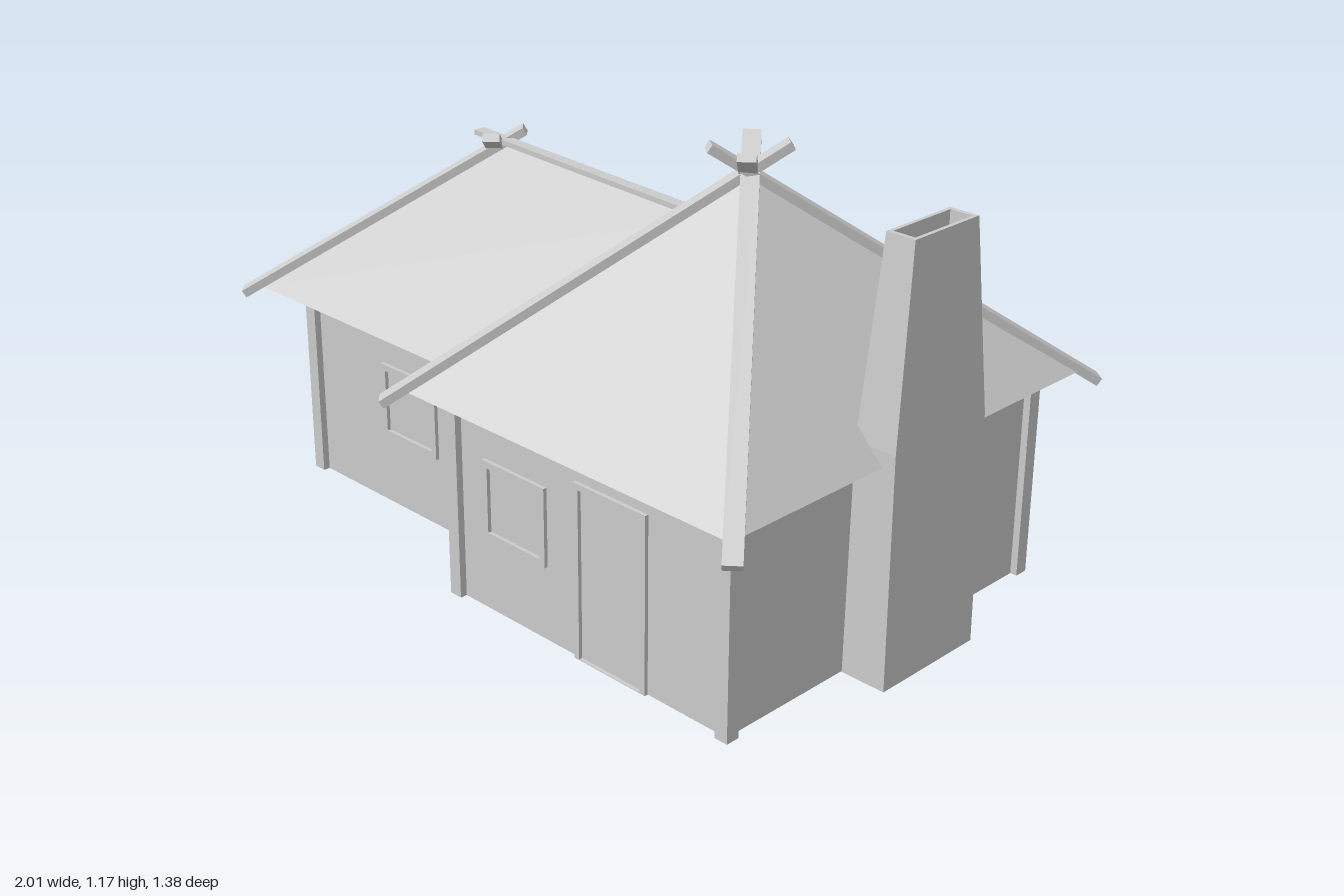
import * as THREE from 'three';

const material = new THREE.MeshStandardMaterial({ color: 0xcccccc, flatShading: true, side: THREE.DoubleSide });

export function createModel() {
  const house = new THREE.Group();
  house.name = 'cottage';

  const add = (name, geometry, x = 0, y = 0, z = 0) => {
    const mesh = new THREE.Mesh(geometry, material);
    mesh.name = name;
    mesh.position.set(x, y, z);
    house.add(mesh);
    return mesh;
  };

  // Flat polygons, each fanned into triangles, corners counter-clockwise from outside
  const faces = (name, polygons) => {
    const points = [];
    for (const p of polygons)
      for (let i = 1; i < p.length - 1; i++) points.push(...p[0], ...p[i], ...p[i + 1]);
    const geometry = new THREE.BufferGeometry();
    geometry.setAttribute('position', new THREE.Float32BufferAttribute(points, 3));
    geometry.computeVertexNormals();
    return add(name, geometry);
  };

  // Timber with a rectangular section between two points
  const timber = (name, from, to, width, thickness) => {
    const a = new THREE.Vector3(...from), b = new THREE.Vector3(...to);
    const mesh = add(name, new THREE.BoxGeometry(width, thickness, a.distanceTo(b)));
    mesh.position.copy(a).lerp(b, 0.5);
    mesh.lookAt(b);
  };

  // Walls: one thin upright panel per run of the floor plan
  const wall = (name, [x1, z1], [x2, z2], height) =>
    faces(name, [[[x1, 0, z1], [x2, 0, z2], [x2, height, z2], [x1, height, z1]]]);
  const L = -0.053, R = 0.853, F = 0.533, B = -0.546; // main block
  const WL = -0.868, WF = 0.345, WB = -0.37; // side wing
  const mainTop = 0.56, wingTop = 0.55;
  wall('mainFrontWall', [L, F], [R, F], mainTop);
  wall('mainRightWall', [R, F], [R, B], mainTop);
  wall('mainBackWall', [R, B], [L, B], mainTop);
  wall('mainBackReturnWall', [L, B], [L, WB], mainTop);
  wall('mainFrontReturnWall', [L, WF], [L, F], mainTop);
  wall('wingBackWall', [L, WB], [WL, WB], wingTop);
  wall('wingLeftWall', [WL, WB], [WL, WF], wingTop);
  wall('wingFrontWall', [WL, WF], [L, WF], wingTop);

  // Corner posts
  const posts = [[L, F], [R, F], [R, B], [L, B], [WL, WF], [WL, WB], [L - 0.013, WF], [L - 0.013, WB]];
  for (const [x, z] of posts)
    add('cornerPost', new THREE.BoxGeometry(0.038, wingTop, 0.038), x, wingTop / 2, z);

  // Window and door frames: rectangular rings raised on the outside of the wall
  const frame = (name, width, height, border, bottomBorder, x, y, z, turn = 0) => {
    const w = width / 2, h = height / 2;
    const rect = (Type, l, b, r, t) =>
      new Type([[l, b], [r, b], [r, t], [l, t]].map(p => new THREE.Vector2(...p)));
    const shape = rect(THREE.Shape, -w, -h, w, h);
    shape.holes.push(rect(THREE.Path, border - w, bottomBorder - h, w - border, h - border));
    const geometry = new THREE.ExtrudeGeometry(shape, { depth: 0.01, bevelEnabled: false });
    add(name, geometry, x, y, z).rotation.y = turn;
  };
  const windows = [
    [0.16, F, 0], [-0.467, WF, 0], [0.41, B, Math.PI], [-0.46, WB, Math.PI], [WL, -0.02, -Math.PI / 2],
  ];
  for (const [x, z, turn] of windows) frame('windowFrame', 0.22, 0.21, 0.018, 0.018, x, 0.305, z, turn);
  frame('doorFrame', 0.235, 0.465, 0.016, 0.002, 0.488, 0.2325, F);

  // Pyramid roof over the main block, closed below by a flat ceiling
  const peak = [0.41, 1.09, 0];
  const eaves = [[-0.14, 0.56, 0.63], [0.94, 0.56, 0.63], [0.94, 0.56, -0.645], [-0.14, 0.56, -0.645]];
  faces('mainRoof', eaves.map((corner, i) => [corner, eaves[(i + 1) % 4], peak]));
  faces('mainCeiling', [[...eaves].reverse()]);

  // Wing roof: hipped at the left end, running into the main roof at the valleys
  const hip = [-0.51, 0.945, -0.03], ridgeEnd = [0.26, 0.94, 0];
  const frontCorner = [-0.95, 0.55, 0.455], backCorner = [-0.95, 0.55, -0.527];
  const frontValley = [-0.14, 0.55, 0.455], backValley = [-0.14, 0.55, -0.527];
  faces('wingRoof', [
    [frontCorner, frontValley, ridgeEnd, hip],
    [backValley, backCorner, hip, ridgeEnd],
    [backCorner, frontCorner, hip],
  ]);
  faces('wingCeiling', [[frontCorner, backCorner, backValley, frontValley]]);

  // Hip poles crossing above the peaks, and the ridge pole
  const hipPoles = [
    [[-0.17, 0.53, 0.665], [0.47, 1.16, -0.07]],
    [[0.98, 0.53, 0.665], [0.345, 1.16, -0.07]],
    [[-0.15, 0.53, -0.675], [0.47, 1.16, 0.085]],
    [[0.96, 0.53, -0.675], [0.35, 1.16, 0.085]],
    [[-0.985, 0.537, 0.49], [-0.46, 0.99, -0.07]],
    [[-0.965, 0.537, -0.522], [-0.465, 0.99, 0.045]],
  ];
  for (const [low, high] of hipPoles) timber('hipPole', low, high, 0.045, 0.022);
  timber('ridgePole', [-0.59, 0.967, -0.022], [0.27, 0.953, 0.01], 0.033, 0.014);

  // Chimney: straight stack, tapered top and open flue, built from stacked rectangles
  const ring = (y, x1, x2, z1, z2) => [[x1, y, z2], [x2, y, z2], [x2, y, z1], [x1, y, z1]];
  const rings = [
    ring(0, 0.855, 0.98, -0.19, 0.14),
    ring(0.6, 0.86, 0.975, -0.19, 0.135),
    ring(1.09, 0.88, 0.96, -0.137, 0.087),
    ring(1.09, 0.89, 0.95, -0.125, 0.075),
    ring(0.75, 0.89, 0.95, -0.125, 0.075),
  ];
  const sides = [rings[4]];
  for (let k = 0; k < rings.length - 1; k++)
    for (let i = 0; i < 4; i++) {
      const j = (i + 1) % 4;
      sides.push([rings[k][i], rings[k][j], rings[k + 1][j], rings[k + 1][i]]);
    }
  faces('chimney', sides);

  return house;
}
